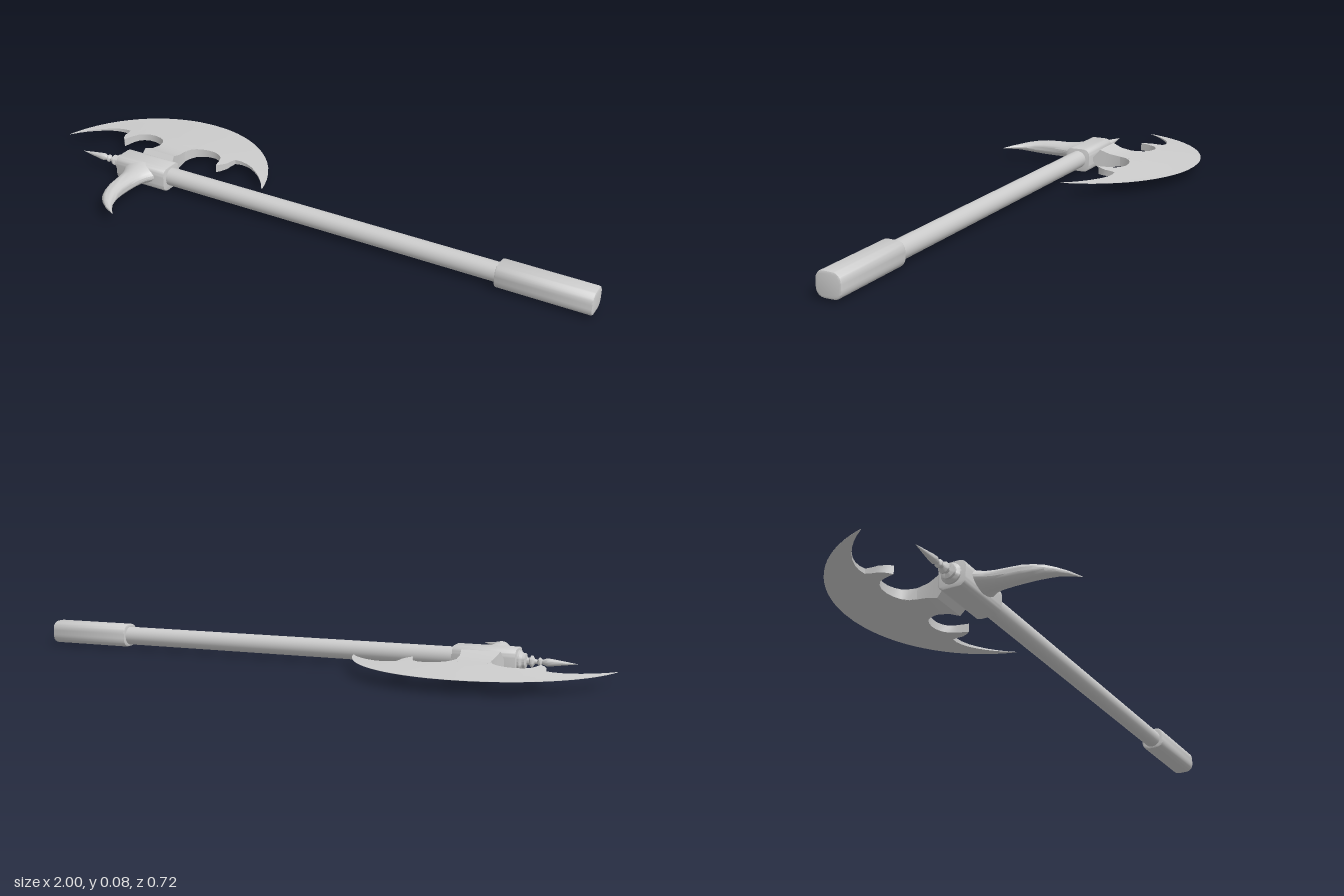
import * as THREE from 'three';
import { toCreasedNormals } from 'three/addons/utils/BufferGeometryUtils.js';

const AXIS_Y = 0.045, AXIS_Z = 0.046, HEAD_X = -0.59;
const material = new THREE.MeshStandardMaterial({ color: 0xcccccc, side: THREE.DoubleSide });

// Skin a series of equal-length closed rings of [x, y, z], optionally capping the ends.
function loft(rings, crease, caps = false) {
  const n = rings[0].length, index = [];
  for (let i = 0; i < rings.length - 1; i++) {
    for (let j = 0; j < n; j++) {
      const a = i * n + j, b = i * n + (j + 1) % n;
      index.push(a, b, a + n, b, b + n, a + n);
    }
  }
  if (caps) {
    const last = (rings.length - 1) * n;
    for (let j = 1; j < n - 1; j++) index.push(0, j + 1, j, last, last + j, last + j + 1);
  }
  const g = new THREE.BufferGeometry();
  g.setAttribute('position', new THREE.Float32BufferAttribute(rings.flat(2), 3));
  g.setIndex(index);
  g.computeVertexNormals();
  return toCreasedNormals(g, crease);
}

// Bar along x with a rounded-square section and slightly bevelled ends.
function roundedBar(x0, x1, hz, hy, r, bevel) {
  const w = hz - bevel, h = hy - bevel, s = new THREE.Shape();
  s.moveTo(-w + r, -h);
  s.lineTo(w - r, -h);
  s.quadraticCurveTo(w, -h, w, -h + r);
  s.lineTo(w, h - r);
  s.quadraticCurveTo(w, h, w - r, h);
  s.lineTo(-w + r, h);
  s.quadraticCurveTo(-w, h, -w, h - r);
  s.lineTo(-w, -h + r);
  s.quadraticCurveTo(-w, -h, -w + r, -h);
  const g = new THREE.ExtrudeGeometry(s, {
    depth: x1 - x0 - 2 * bevel, bevelThickness: bevel, bevelSize: bevel, bevelSegments: 2, curveSegments: 8,
  });
  g.translate(0, 0, x0 + bevel).rotateY(Math.PI / 2);
  return toCreasedNormals(g, 0.6);
}

// Crescent blade: the lower outline is given for one half, the cutting edge is a circular arc.
function bladeGeometry() {
  const R = 0.423, CZ = 0.062;
  const inner = [
    [0, -0.1], [0.053, -0.1], [0.06, -0.125], [0.072, -0.142], [0.09, -0.153], [0.115, -0.16], [0.14, -0.16],
    [0.162, -0.152], [0.178, -0.138], [0.188, -0.115], [0.197, -0.08], [0.21, -0.094], [0.221, -0.115],
    [0.223, -0.135], [0.228, -0.155], [0.25, -0.158], [0.275, -0.154], [0.3, -0.144], [0.325, -0.128],
    [0.35, -0.108], [0.372, -0.086], [0.39, -0.064], [0.403, -0.045], [0.411, -0.034],
  ];
  const outline = [...inner.slice(1).reverse().map(([x, z]) => [-x, z]), ...inner];
  // Thickness falls from the socket side to the sharp outer arc.
  const half = (x, z) => Math.max(0.0004, 0.018 * Math.min(1, (R - Math.hypot(x, z - CZ)) / 0.235));
  const steps = 6;
  const rings = outline.map(([x, z0]) => {
    const z1 = Math.min(z0 - 0.001, CZ - Math.sqrt(R * R - x * x));
    const top = [], bottom = [];
    for (let k = 0; k <= steps; k++) {
      const z = z0 + (z1 - z0) * k / steps, h = half(x, z);
      top.push([x, h, z]);
      bottom.unshift([x, -h, z]);
    }
    return [...top, ...bottom].reverse();
  });
  return loft(rings, 0.5, true);
}

// Neck between socket and blade: [z, half width, half thickness].
function neckGeometry() {
  const sections = [[0.004, 0.066, 0.004], [-0.025, 0.061, 0.037], [-0.06, 0.055, 0.024],
    [-0.1, 0.053, 0.0185], [-0.14, 0.06, 0.0165]];
  return loft(sections.map(([z, w, h]) => [[-w, -h, z], [-w, h, z], [w, h, z], [w, -h, z]]), 0.3, true);
}

// Curved beak opposite the blade: [z, left edge, right edge, half thickness].
function beakGeometry() {
  const sections = [[0.07, -0.075, 0.075, 0.036], [0.092, -0.066, 0.062, 0.032], [0.115, -0.052, 0.046, 0.028],
    [0.14, -0.043, 0.038, 0.027], [0.18, -0.036, 0.032, 0.027], [0.22, -0.031, 0.032, 0.026],
    [0.255, -0.022, 0.037, 0.022], [0.285, -0.008, 0.046, 0.017], [0.31, 0.014, 0.056, 0.011],
    [0.335, 0.047, 0.073, 0.006], [0.356, 0.09, 0.092, 0.001]];
  const n = 20;
  const rings = sections.map(([z, x0, x1, h]) => Array.from({ length: n }, (_, j) => {
    const a = j / n * Math.PI * 2, s = Math.sin(a);
    return [(x0 + x1) / 2 + Math.cos(a) * (x1 - x0) / 2, s * Math.abs(s) ** 0.3 * h, z];
  }));
  return loft(rings, 0.9, true);
}

// Turned finial and point: [radius, distance from the socket].
function spikeGeometry() {
  const profile = [[0, -0.01], [0.032, -0.01], [0.032, 0.006], [0.024, 0.014], [0.024, 0.022], [0.011, 0.026],
    [0.011, 0.034], [0.018, 0.038], [0.018, 0.043], [0.008, 0.05], [0.007, 0.058], [0.013, 0.064],
    [0.013, 0.068], [0.007, 0.073], [0.0125, 0.087], [0.0115, 0.1], [0.006, 0.14], [0, 0.182]];
  const g = new THREE.LatheGeometry(profile.map(([r, d]) => new THREE.Vector2(r, d)), 20);
  return toCreasedNormals(g.rotateZ(Math.PI / 2), 0.6);
}

export function createModel() {
  const group = new THREE.Group();
  const add = (name, geometry, x, y, z) => {
    const mesh = new THREE.Mesh(geometry, material);
    mesh.name = name;
    mesh.position.set(x, y, z);
    group.add(mesh);
  };

  // Handle
  const shaft = new THREE.CylinderGeometry(0.031, 0.031, 1.26, 32).rotateZ(Math.PI / 2);
  add('shaft', shaft, 0.11, AXIS_Y, AXIS_Z);
  add('grip', roundedBar(0.7, 1, 0.042, 0.039, 0.026, 0.006), 0, AXIS_Y + 0.001, AXIS_Z + 0.001);

  // Head
  add('socket', roundedBar(-0.69, -0.49, 0.046, 0.042, 0.024, 0.003), 0, 0.043, AXIS_Z);
  add('spike', spikeGeometry(), -0.69, AXIS_Y, AXIS_Z);
  add('bladeNeck', neckGeometry(), HEAD_X, 0.043, 0);
  add('blade', bladeGeometry(), HEAD_X, 0.043, 0);
  add('beak', beakGeometry(), HEAD_X, 0.05, 0);
  return group;
}
